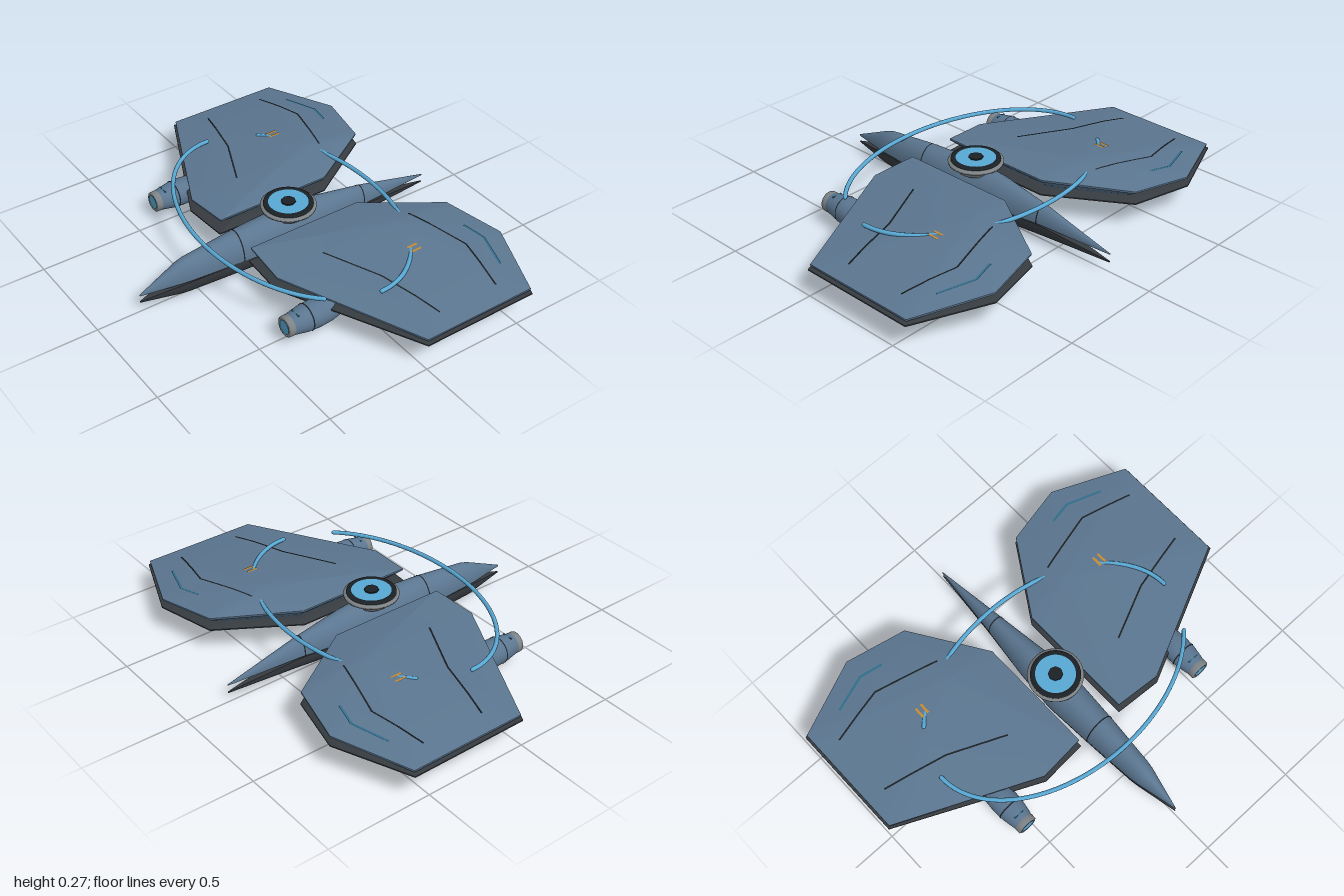
import * as THREE from 'three';
import { mergeGeometries } from 'three/addons/utils/BufferGeometryUtils.js';

const mat = (name, color) => {
  const m = new THREE.MeshStandardMaterial({ color, side: THREE.DoubleSide });
  m.name = name;
  return m;
};

// Indexed skin through rows of [x, y, z] points
function skin(rows) {
  const n = rows[0].length, idx = [];
  for (let r = 0; r < rows.length - 1; r++)
    for (let i = 0; i < n - 1; i++) {
      const a = r * n + i, b = a + n;
      idx.push(a, b, a + 1, a + 1, b, b + 1);
    }
  const g = new THREE.BufferGeometry();
  g.setAttribute('position', new THREE.Float32BufferAttribute(rows.flat(2), 3));
  g.setIndex(idx);
  g.computeVertexNormals();
  return g;
}

const range = (n, f) => Array.from({ length: n + 1 }, (_, i) => f(i / n));

// Hull stations: z, half width, top y, split y of upper half, split y of lower half, bottom y
const HULL = [
  [0.785, 0.002, 0.092, 0.085, 0.055, 0.048],
  [0.57, 0.053, 0.188, 0.097, 0.09, 0.009],
  [0.3, 0.075, 0.217, 0.1, 0.1, 0.002],
  [0.05, 0.09, 0.232, 0.1, 0.1, 0],
  [-0.15, 0.076, 0.222, 0.1, 0.1, 0.01],
  [-0.42, 0.042, 0.178, 0.1, 0.095, 0.026],
  [-0.785, 0.002, 0.092, 0.087, 0.053, 0.046],
];
function station(z) {
  let i = 0;
  while (i < HULL.length - 2 && HULL[i + 1][0] > z) i++;
  const k = (HULL[i][0] - z) / (HULL[i][0] - HULL[i + 1][0]);
  return HULL[i].map((v, j) => v + (HULL[i + 1][j] - v) * k);
}
function halfSection(z, upper, grow = 0) {
  const [, w, top, su, sl, bottom] = station(z);
  const base = upper ? su : sl, end = upper ? top : bottom;
  return range(20, t => [(w + grow) * Math.cos(t * Math.PI),
    base + (end - base + grow) * Math.sin(t * Math.PI), z]);
}
const hullHalf = upper => {
  const rows = range(40, t => halfSection(0.785 - 1.57 * t, upper));
  const floor = rows.map(r => [r[0], r[r.length - 1]]);
  return mergeGeometries([skin(rows), skin(floor)]);
};

// Wing planform (x, z), crown point and top surface height rule
const PLAN = [[0.118, 0.295], [0.345, 0.31], [1, 0], [1, -0.575],
  [0.64, -0.72], [0.345, -0.65], [0.118, -0.29]];
const C = [0.36, -0.32];
const edgeY = x => 0.21 - 0.055 * x;
const loop = PLAN.flatMap((p, i) => {
  const q = PLAN[(i + 1) % PLAN.length];
  return range(7, t => [p[0] + (q[0] - p[0]) * t, p[1] + (q[1] - p[1]) * t]).slice(0, 8 - (i < 6));
});
// One loop of the wing at scale s, with height taken from the edge point
const wingLoop = (s, height) => loop.map(([x, z]) =>
  [C[0] + (x - C[0]) * s, height(x), C[1] + (z - C[1]) * s]);
const topHeight = (s, x) => edgeY(x) + (0.228 - edgeY(x)) * (1 - Math.pow(s, 1.4));
function surfaceY(x, z) {
  let s = 1e-4;
  PLAN.forEach((p, i) => {
    const q = PLAN[(i + 1) % PLAN.length], nx = q[1] - p[1], nz = p[0] - q[0];
    s = Math.max(s, ((x - C[0]) * nx + (z - C[1]) * nz) / ((p[0] - C[0]) * nx + (p[1] - C[1]) * nz));
  });
  return topHeight(s, C[0] + (x - C[0]) / s);
}
// Thin strip draped over the wing along a polyline
function strip(points, width) {
  const rows = [];
  for (let i = 0; i < points.length - 1; i++) {
    const [a, b] = [points[i], points[i + 1]];
    const len = Math.hypot(b[0] - a[0], b[1] - a[1]);
    const ox = -(b[1] - a[1]) / len * width / 2, oz = (b[0] - a[0]) / len * width / 2;
    for (const t of range(10, v => v)) {
      const x = a[0] + (b[0] - a[0]) * t, z = a[1] + (b[1] - a[1]) * t, y = surfaceY(x, z) + 0.003;
      rows.push([[x - ox, y, z - oz], [x + ox, y, z + oz]]);
    }
  }
  return skin(rows);
}

export function createModel() {
  const hullBlue = mat('hull blue', 0x5b7690), under = mat('dark underside', 0x363b40);
  const grey = mat('ring grey', 0x7d8386), trim = mat('black trim', 0x1b2125);
  const glow = mat('light blue', 0x58a8d4), teal = mat('teal', 0x2f6d8a), orange = mat('orange', 0xc98a2c);

  const model = new THREE.Group();
  const add = (parent, name, geometry, material, x = 0, y = 0, z = 0) => {
    const m = new THREE.Mesh(geometry, material);
    m.name = name;
    m.position.set(x, y, z);
    parent.add(m);
    return m;
  };
  const lathe = pts => new THREE.LatheGeometry(pts.map(p => new THREE.Vector2(...p)), 40);

  // Fuselage in two halves that part at nose and tail
  add(model, 'upperHull', hullHalf(true), hullBlue);
  add(model, 'lowerHull', hullHalf(false), under);
  for (const z of [0.29, -0.405]) {
    const band = [z - 0.003, z + 0.003].map(v => halfSection(v, true, 0.002));
    add(model, 'hullSeam', skin(band), trim);
  }

  // Dorsal hub
  add(model, 'hubBase', lathe([[0.085, 0.2], [0.1, 0.23], [0.126, 0.236], [0.128, 0.247], [0.108, 0.256], [0, 0.256]]), grey);
  add(model, 'hubCollar', lathe([[0.115, 0.25], [0.114, 0.26], [0.092, 0.262], [0.09, 0.25]]), trim);
  add(model, 'hubDisc', new THREE.CylinderGeometry(0.092, 0.092, 0.008, 40), glow, 0, 0.257);
  add(model, 'hubCore', new THREE.CylinderGeometry(0.034, 0.034, 0.012, 8), trim, 0, 0.261);

  // Two long arcs of an elliptical halo
  for (const start of [31, 211]) {
    const pts = range(48, t => {
      const a = THREE.MathUtils.degToRad(start + 149 * t);
      return new THREE.Vector3(0.685 * Math.cos(a), 0.207, 0.445 * Math.sin(a));
    });
    const curve = new THREE.CatmullRomCurve3(pts);
    add(model, 'haloArc', new THREE.TubeGeometry(curve, 96, 0.01, 10), glow);
    for (const p of [pts[0], pts[48]])
      add(model, 'haloEnd', new THREE.SphereGeometry(0.01, 10, 8), glow, p.x, p.y, p.z);
  }

  // Wings and engine pods, mirrored
  for (const side of [1, -1]) {
    const wing = new THREE.Group();
    wing.name = side > 0 ? 'leftWing' : 'rightWing';
    wing.scale.x = side;
    model.add(wing);

    const S = 0.985;
    const upper = mergeGeometries([
      skin(range(14, t => wingLoop(S * (1 - t), x => topHeight(1 - t, x)))),
      skin([wingLoop(S, edgeY), wingLoop(S, x => edgeY(x) - 0.008)]),
      skin([wingLoop(S, x => edgeY(x) - 0.008), wingLoop(0.8, () => 0.15), wingLoop(0, () => 0.148)]),
    ]);
    add(wing, 'upperWing', upper, hullBlue);
    const lower = mergeGeometries([
      skin([wingLoop(0, () => 0.155), wingLoop(0.85, () => 0.152), wingLoop(1, () => 0.133)]),
      skin([wingLoop(1, () => 0.133), wingLoop(1, () => 0.127)]),
      skin([wingLoop(1, () => 0.127), wingLoop(0.7, () => 0.118), wingLoop(0, () => 0.115)]),
    ]);
    add(wing, 'lowerWing', lower, under);

    // Panel lines and markings
    add(wing, 'rearPanelLine', strip([[0.34, -0.42], [0.64, -0.505], [0.9, -0.45]], 0.008), trim);
    add(wing, 'frontPanelLine', strip([[0.34, 0.055], [0.6, -0.065], [0.9, -0.14]], 0.008), trim);
    add(wing, 'tealLine', strip([[0.53, -0.585], [0.64, -0.61], [0.81, -0.555]], 0.011), teal);
    for (const x of [0.53, 0.56])
      add(wing, 'orangeMark', strip([[x, -0.315], [x, -0.262]], 0.011), orange);

    // Engine pod: intake in front, pointed tail
    const pod = new THREE.Group();
    pod.name = 'enginePod';
    pod.position.set(0.538, 0.1, 0);
    pod.rotation.x = Math.PI / 2;
    wing.add(pod);
    add(pod, 'podShell', lathe([[0.001, -0.01], [0.022, 0.04], [0.045, 0.11], [0.06, 0.18], [0.064, 0.24],
      [0.061, 0.3], [0.05, 0.36], [0.046, 0.375]]), hullBlue);
    add(pod, 'podBand', lathe([[0.064, 0.284], [0.0645, 0.287], [0.063, 0.29]]), trim);
    add(pod, 'intakeRing', lathe([[0.044, 0.365], [0.049, 0.372], [0.048, 0.396], [0.042, 0.4], [0.034, 0.4], [0.034, 0.385]]), grey);
    add(pod, 'intakeGlow', new THREE.CylinderGeometry(0.035, 0.035, 0.01, 32), glow, 0, 0.393, 0);
    add(pod, 'podSlot', new THREE.BoxGeometry(0.05, 0.006, 0.006), teal, 0, 0.342, -0.05);
  }
  return model;
}
